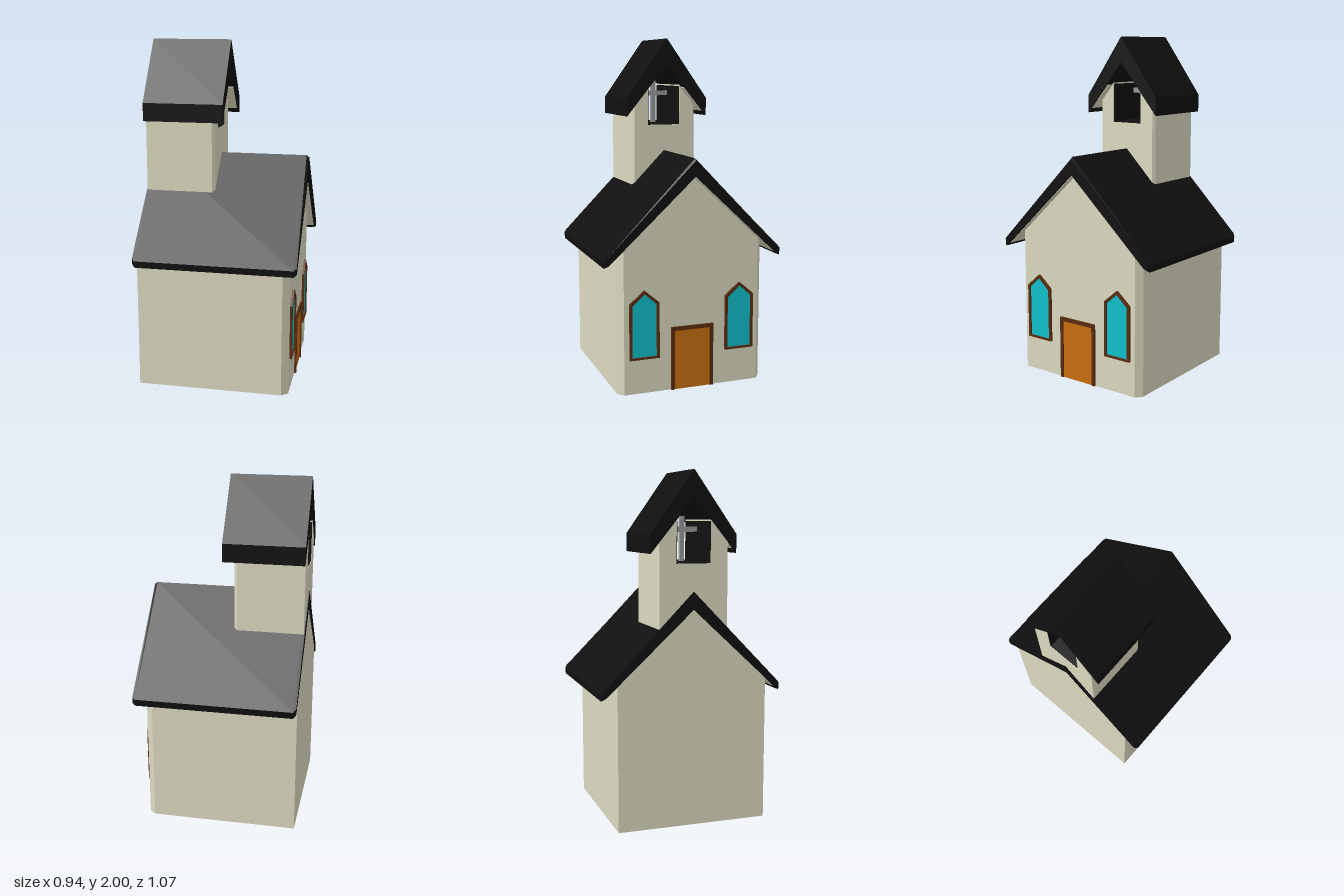
import * as THREE from 'three';

const mat = (color) => new THREE.MeshStandardMaterial({ color, flatShading: true });
const WALL = mat(0xdcdac0), ROOF = mat(0x101010), TRIM = mat(0x5a2c10);
const GLASS = mat(0x10c0cc), DOOR = mat(0xc8700f), METAL = mat(0x999999);

// Solid through cross-sections {x, pts}; pts are [a, y] counter-clockwise seen from +x, a = -z
function loft(sections) {
  const pos = [];
  const put = (s, i) => pos.push(s.x, s.pts[i][1], -s.pts[i][0]);
  const n = sections[0].pts.length;
  for (let k = 0; k + 1 < sections.length; k++) {
    const b = sections[k], f = sections[k + 1];
    for (let i = 0; i < n; i++) {
      const j = (i + 1) % n;
      put(b, i); put(b, j); put(f, j);
      put(b, i); put(f, j); put(f, i);
    }
  }
  const cap = (s, flip) => {
    const tris = THREE.ShapeUtils.triangulateShape(s.pts.map((p) => new THREE.Vector2(...p)), []);
    for (const t of tris) (flip ? [t[2], t[1], t[0]] : t).forEach((i) => put(s, i));
  };
  cap(sections[0], true);
  cap(sections[sections.length - 1], false);
  const g = new THREE.BufferGeometry();
  g.setAttribute('position', new THREE.Float32BufferAttribute(pos, 3));
  g.computeVertexNormals();
  return g;
}

// Right half of an outline, bottom to top, completed by its mirror image
const mirror = (half) => [
  ...half,
  ...half.filter((p) => p[0] !== 0).reverse().map(([a, y]) => [-a, y]),
];

// Flat panel with optional hole, facing +x
function panel(pts, hole, x0, x1) {
  const v = (list) => list.map((p) => new THREE.Vector2(...p));
  const shape = new THREE.Shape(v(pts));
  if (hole) shape.holes.push(new THREE.Path(v(hole)));
  return new THREE.ExtrudeGeometry(shape, { depth: x1 - x0, bevelEnabled: false })
    .rotateY(Math.PI / 2).translate(x0, 0, 0);
}

export function createModel() {
  const group = new THREE.Group();
  const add = (name, geo, material, parent = group) => {
    const m = new THREE.Mesh(geo, material);
    m.name = name;
    parent.add(m);
    return m;
  };
  const box = (name, material, x, y, z, w, h, d) =>
    add(name, new THREE.BoxGeometry(w, h, d).translate(x, y, z), material);

  // Gabled hall with chamfered front corners
  const hall = (w) => mirror([[w, 0], [w, 1.26 - 0.925 * w], [0, 1.26]]);
  add('hallWalls', loft([
    { x: -0.467, pts: hall(0.44) }, { x: 0.38, pts: hall(0.44) }, { x: 0.418, pts: hall(0.408) },
  ]), WALL);

  // Main roof: chevron slab, edges slightly bevelled
  const mainRoof = (e, t) => mirror([
    [0.515 - e, 0.757 + e], [0.531 - e, 0.752 + e], [0.534 - e, 0.79 + e], [0, 1.335 - t],
  ]).concat([[0, 1.235]]);
  add('mainRoof', loft([
    { x: -0.47, pts: mainRoof(0.015, 0) }, { x: -0.455, pts: mainRoof(0, 0) },
    { x: 0.452, pts: mainRoof(0, 0) }, { x: 0.468, pts: mainRoof(0.012, 0.012) },
  ]), ROOF);

  // Pale lining under the main roof
  const soffit = mirror([[0.495, 0.774], [0.495, 0.785], [0, 1.24]]).concat([[0, 1.231]]);
  add('mainSoffit', loft([{ x: -0.462, pts: soffit }, { x: 0.455, pts: soffit }]), WALL);

  // Bell tower, open from front to back between two piers
  const tower = (w) => {
    const top = (a) => 1.86 - 1.24 * a;
    return [[-w, 1.0], [w, 1.0], [w, top(w)], [0.1, top(0.1)], [0.1, 1.49],
      [-0.1, 1.49], [-0.1, top(0.1)], [-w, top(w)]];
  };
  add('towerWalls', loft([
    { x: -0.465, pts: tower(0.2) }, { x: -0.075, pts: tower(0.2) }, { x: -0.058, pts: tower(0.187) },
  ]), WALL);

  // Dark lining of the tower opening
  box('openingFloor', ROOF, -0.262, 1.491, 0, 0.4, 0.006, 0.2);
  for (const s of [1, -1]) box('openingSide', ROOF, -0.262, 1.605, s * 0.099, 0.4, 0.23, 0.006);

  // Tower roof and the pale strips under its eaves
  const towerRoof = mirror([[0.25, 1.545], [0.25, 1.65], [0, 2.0]]).concat([[0, 1.85]]);
  add('towerRoof', loft([{ x: -0.468, pts: towerRoof }, { x: 0, pts: towerRoof }]), ROOF);
  for (const s of [1, -1]) {
    const strip = [[0.11, 1.71], [0.225, 1.572], [0.225, 1.58], [0.11, 1.718]];
    const pts = s > 0 ? strip : strip.map(([a, y]) => [-a, y]).reverse();
    add('towerSoffit', loft([{ x: -0.46, pts }, { x: -0.01, pts }]), WALL);
  }

  // Cross standing in the opening
  box('crossUpright', METAL, -0.26, 1.62, 0, 0.026, 0.26, 0.026);
  box('crossArm', METAL, -0.26, 1.675, 0, 0.025, 0.03, 0.18);

  // Pointed windows either side of the door
  const arch = (w, y0, y1, y2) => mirror([[w, y0], [w, y1], [0, y2]]);
  for (const s of [1, -1]) {
    const win = new THREE.Group();
    win.name = 'window';
    win.position.z = s * 0.29;
    const inner = arch(0.073, 0.215, 0.517, 0.582);
    add('windowFrame', panel(arch(0.088, 0.203, 0.527, 0.602), inner, 0.41, 0.432), TRIM, win);
    add('windowGlass', panel(inner, null, 0.41, 0.423), GLASS, win);
    group.add(win);
  }

  // Door and its frame
  const rect = (w, y0, y1) => [[-w, y0], [w, y0], [w, y1], [-w, y1]];
  add('door', panel(rect(0.108, 0, 0.35), null, 0.41, 0.423), DOOR);
  add('doorFrame', panel([[-0.128, 0], [-0.108, 0], [-0.108, 0.35], [0.108, 0.35],
    [0.108, 0], [0.128, 0], [0.128, 0.372], [-0.128, 0.372]], null, 0.41, 0.43), TRIM);

  return group;
}
